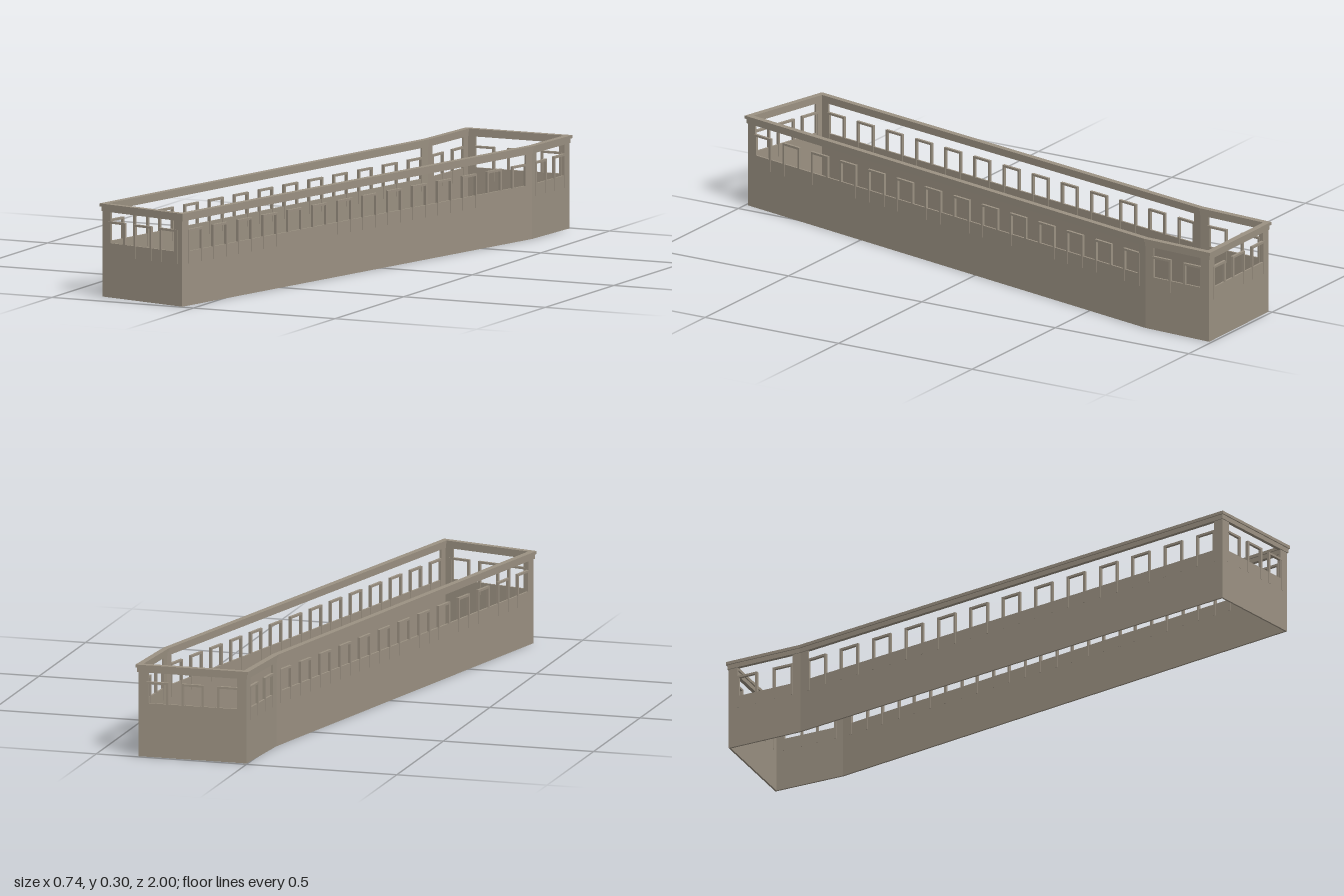
import * as THREE from 'three';

const stone = new THREE.MeshStandardMaterial({ color: 0x9b9182 });
stone.name = 'warm grey stone';

// Centreline of the wall in plan, counter-clockwise, as (x, -z)
const plan = [
  [0.006, 0.985], [-0.012, 0.727], [-0.3595, -0.911],
  [-0.046, -0.988], [0.347, 0.745], [0.3595, 0.988],
].map(([x, y]) => new THREE.Vector2(x, y));
const count = plan.length;
const at = (i) => plan[(i + count) % count];
const direction = (i) => at(i + 1).clone().sub(at(i)).normalize();
const outward = (d) => new THREE.Vector2(d.y, -d.x);

// Corner i moved outwards by d, with a mitre
function mitre(i, d) {
  const a = outward(direction((i - 1 + count) % count));
  const b = outward(direction(i));
  return at(i).clone().addScaledVector(a.clone().add(b), d / (1 + a.dot(b)));
}

// Upright prism from a plan shape
function prism(shape, bottom, top) {
  const g = new THREE.ExtrudeGeometry(shape, { depth: top - bottom, bevelEnabled: false });
  return g.rotateX(-Math.PI / 2).translate(0, bottom, 0);
}

function add(group, name, geometry) {
  const mesh = new THREE.Mesh(geometry, stone);
  mesh.name = name;
  group.add(mesh);
  return mesh;
}

// Closed band following the plan
function band(half, bottom, top) {
  const shape = new THREE.Shape(plan.map((_, i) => mitre(i, half)));
  shape.holes.push(new THREE.Path(plan.map((_, i) => mitre(i, -half)).reverse()));
  return prism(shape, bottom, top);
}

// Folded post wrapping a corner
function post(i, half, reach) {
  const before = direction((i - 1 + count) % count);
  const after = direction(i);
  const end = (d, s, n) => at(i).clone().addScaledVector(d, s).addScaledVector(outward(d), n);
  return prism(new THREE.Shape([
    end(before, -reach, half), mitre(i, half), end(after, reach, half),
    end(after, reach, -half), mitre(i, -half), end(before, -reach, -half),
  ]), 0.175, 0.275);
}

// Upside-down U frame, centred on its own x and z
function frameGeometry(width, bottom, top, bar, depth) {
  const w = width / 2;
  const shape = new THREE.Shape([
    [-w, bottom], [-w + bar, bottom], [-w + bar, top - bar], [w - bar, top - bar],
    [w - bar, bottom], [w, bottom], [w, top], [-w, top],
  ].map(([x, y]) => new THREE.Vector2(x, y)));
  return new THREE.ExtrudeGeometry(shape, { depth, bevelEnabled: false }).translate(0, 0, -depth / 2);
}

export function createModel() {
  const model = new THREE.Group();
  model.name = 'walledEnclosure';

  // Solid lower wall, then the two-step beam on top
  add(model, 'lowerWall', band(0.003, 0, 0.175));
  add(model, 'topBeam', band(0.006, 0.275, 0.29));
  add(model, 'cornice', band(0.01, 0.29, 0.3));

  // Posts at every corner
  const posts = new THREE.Group();
  posts.name = 'cornerPosts';
  plan.forEach((_, i) => add(posts, 'cornerPost', post(i, 0.003, 0.03)));
  model.add(posts);

  // Evenly spaced railing frames standing in the openings
  const railing = new THREE.Group();
  railing.name = 'railingFrames';
  const geometry = frameGeometry(0.073, 0.135, 0.245, 0.007, 0.009);
  plan.forEach((start, i) => {
    const d = direction(i);
    const length = start.distanceTo(at(i + 1));
    const n = Math.round(length / 0.128);
    for (let k = 0; k < n; k++) {
      const p = start.clone().addScaledVector(d, ((k + 0.5) * length) / n);
      const frame = add(railing, 'railingFrame', geometry);
      frame.position.set(p.x, 0, -p.y);
      frame.rotation.y = Math.atan2(d.y, d.x);
    }
  });
  model.add(railing);

  return model;
}
